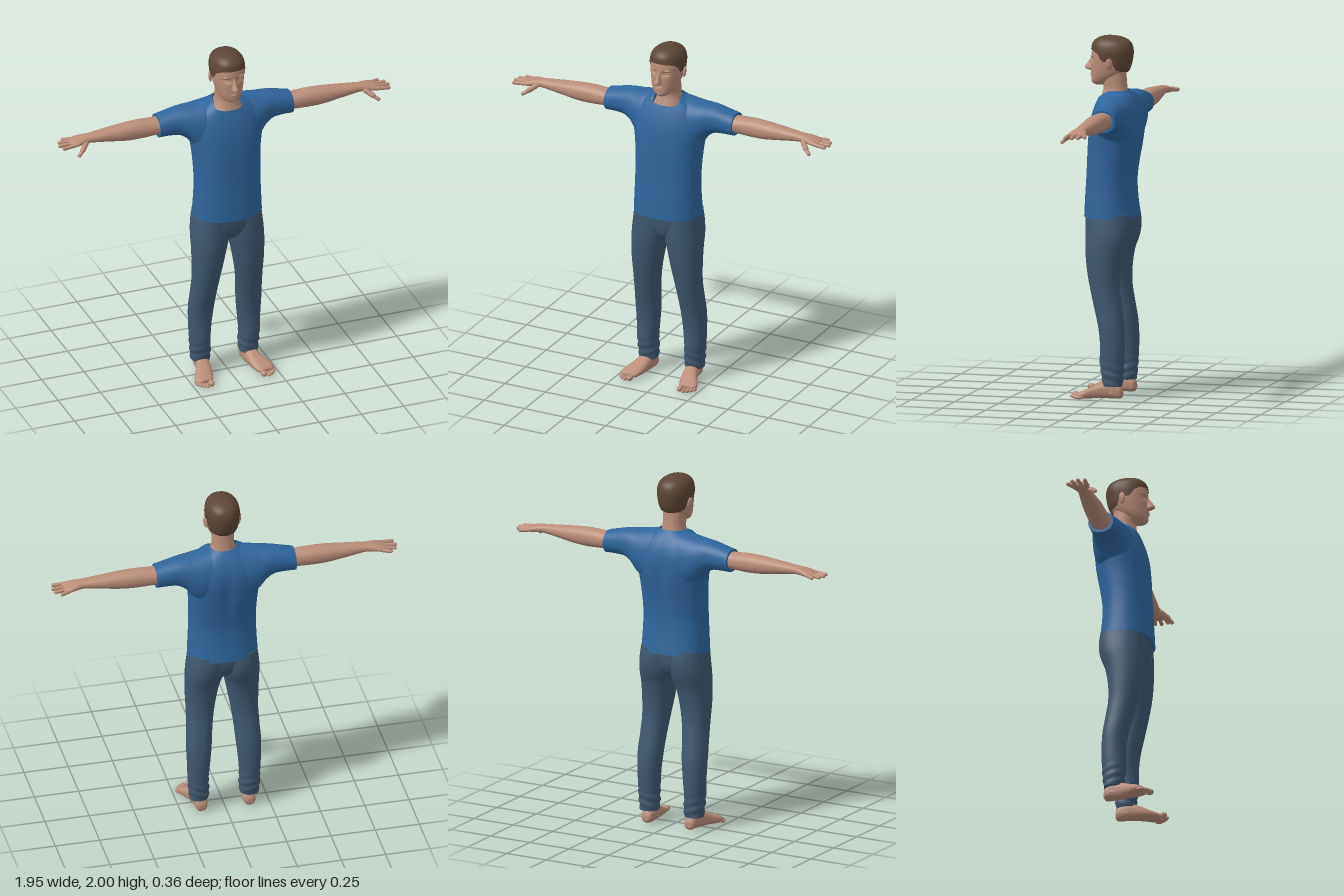
import * as THREE from 'three';

const paint = (name, color, side = THREE.FrontSide) => {
  const m = new THREE.MeshStandardMaterial({ color, side });
  m.name = name;
  return m;
};

// Smooth interpolation of rows sorted by their first number
function at(rows, t) {
  const last = rows.length - 1;
  let k = 0;
  while (k < last - 1 && t > rows[k + 1][0]) k++;
  const p = rows[k], q = rows[k + 1], h = q[0] - p[0];
  const s = Math.min(1, Math.max(0, (t - p[0]) / h));
  const slope = (i, c) => {
    const a = rows[Math.max(0, i - 1)], b = rows[Math.min(last, i + 1)];
    return (b[c] - a[c]) / (b[0] - a[0]);
  };
  return p.map((v, c) => c === 0 ? t :
    v * (1 + 2 * s) * (1 - s) ** 2 + slope(k, c) * h * s * (1 - s) ** 2 +
    q[c] * s * s * (3 - 2 * s) + slope(k + 1, c) * h * s * s * (s - 1));
}

// Loft along an axis (0 x, 1 y, 2 z). Row: [t, aMin, aMax, bMin, bMax],
// where a and b are the next two axes in cyclic order.
function loft(axis, rows, o = {}) {
  const { n = 36, steps = 40, power = 2.2, start, end, ease = (s) => s, warp } = o;
  const pos = [], idx = [], A = (axis + 1) % 3, B = (axis + 2) % 3;
  const round = (c) => Math.sign(c) * Math.abs(c) ** (2 / power);
  for (let j = 0; j <= steps; j++) for (let i = 0; i < n; i++) {
    const th = (i / n) * Math.PI * 2;
    const t0 = start ? start(th) : rows[0][0], t1 = end ? end(th) : rows.at(-1)[0];
    const [t, a0, a1, b0, b1] = at(rows, t0 + (t1 - t0) * ease(j / steps));
    const p = [0, 0, 0];
    p[axis] = t;
    p[A] = (a0 + a1) / 2 + (a1 - a0) / 2 * round(Math.cos(th));
    p[B] = (b0 + b1) / 2 + (b1 - b0) / 2 * round(Math.sin(th));
    if (warp) warp(p, th);
    pos.push(...p);
    if (j === steps) continue;
    const u = j * n + i, v = j * n + (i + 1) % n;
    idx.push(u, v, u + n, v, v + n, u + n);
  }
  // Flat end caps with their own rings
  const cap = (j, flip) => {
    const base = pos.length / 3, mid = [0, 0, 0];
    for (let i = 0; i < n; i++) for (let c = 0; c < 3; c++) {
      const v = pos[(j * n + i) * 3 + c];
      pos.push(v);
      mid[c] += v / n;
    }
    pos.push(...mid);
    for (let i = 0; i < n; i++) {
      const u = base + i, v = base + (i + 1) % n;
      idx.push(...(flip ? [v, u, base + n] : [u, v, base + n]));
    }
  };
  if (!start) cap(0, true);
  if (!end) cap(steps, false);
  const g = new THREE.BufferGeometry();
  g.setAttribute('position', new THREE.Float32BufferAttribute(pos, 3));
  g.setIndex(idx);
  g.computeVertexNormals();
  return g;
}

// Copy of a geometry reflected across x = 0
function mirrored(g) {
  const m = g.clone().scale(-1, 1, 1), ix = m.index.array;
  for (let i = 0; i < ix.length; i += 3) [ix[i], ix[i + 1]] = [ix[i + 1], ix[i]];
  m.computeVertexNormals();
  return m;
}

const blob = (x, y, z, rx, ry, rz) => new THREE.SphereGeometry(1, 20, 14).scale(rx, ry, rz).translate(x, y, z);

// Rounded digit between two points
function digit(from, to, r) {
  const a = new THREE.Vector3(...from), b = new THREE.Vector3(...to), d = b.clone().sub(a);
  const turn = new THREE.Quaternion().setFromUnitVectors(new THREE.Vector3(0, 1, 0), d.clone().normalize());
  return new THREE.CapsuleGeometry(r, Math.max(0.001, d.length() - r), 5, 12)
    .applyQuaternion(turn).translate(...a.add(b).multiplyScalar(0.5).toArray());
}

export function createModel() {
  const model = new THREE.Group();
  const skin = paint('skin', 0xb98e7a);
  const shirt = paint('shirt blue', 0x2f669c, THREE.DoubleSide);
  const denim = paint('denim', 0x40586f);
  const brown = paint('hair brown', 0x5c4636, THREE.DoubleSide);
  const add = (name, g, mat) => {
    const m = new THREE.Mesh(g, mat);
    m.name = name;
    model.add(m);
  };
  const pair = (name, g, mat) => {
    add('left' + name, g, mat);
    add('right' + name, mirrored(g), mat);
  };

  // Head with hollowed eye sockets, and neck
  add('head', loft(1, [
    [1.725, 0.02, 0.09, -0.025, 0.025], [1.74, -0.005, 0.104, -0.048, 0.048],
    [1.77, -0.05, 0.108, -0.067, 0.067], [1.8, -0.085, 0.108, -0.077, 0.077],
    [1.84, -0.108, 0.108, -0.085, 0.085], [1.88, -0.118, 0.107, -0.089, 0.089],
    [1.92, -0.12, 0.102, -0.089, 0.089], [1.96, -0.106, 0.088, -0.076, 0.076],
    [1.985, -0.06, 0.05, -0.04, 0.04]], {
    n: 64, steps: 60, warp: (p) => {
      const dx = (Math.abs(p[0]) - 0.036) / 0.02, dy = (p[1] - 1.866) / 0.014;
      if (p[2] > 0) p[2] -= 0.014 * Math.exp(-dx * dx - dy * dy);
    } }), skin);
  add('neck', loft(1, [
    [1.63, -0.1, 0.062, -0.095, 0.095], [1.67, -0.1, 0.048, -0.075, 0.075],
    [1.71, -0.094, 0.038, -0.063, 0.063], [1.75, -0.09, 0.045, -0.062, 0.062],
    [1.8, -0.088, 0.05, -0.062, 0.062]]), skin);

  // Face features
  add('nose', loft(1, [
    [1.802, 0.08, 0.118, -0.012, 0.012], [1.81, 0.08, 0.142, -0.019, 0.019],
    [1.82, 0.08, 0.147, -0.018, 0.018], [1.845, 0.08, 0.13, -0.011, 0.011],
    [1.872, 0.08, 0.112, -0.009, 0.009], [1.89, 0.08, 0.104, -0.012, 0.012]], { n: 20, steps: 20, power: 2 }), skin);
  add('upperLip', blob(0, 1.784, 0.102, 0.026, 0.005, 0.012), skin);
  add('lowerLip', blob(0, 1.773, 0.101, 0.022, 0.006, 0.012), skin);
  add('chin', blob(0, 1.746, 0.092, 0.025, 0.017, 0.016), skin);
  pair('Brow', blob(0.036, 1.886, 0.092, 0.025, 0.007, 0.011), skin);
  pair('Eyelid', blob(0.036, 1.866, 0.079, 0.015, 0.008, 0.012), skin);
  pair('Ear', blob(0, 0, 0, 0.009, 0.033, 0.02).rotateY(0.35).rotateZ(-0.12).translate(0.096, 1.85, -0.018), skin);

  // Short hair with a hairline that drops towards the nape
  const hairline = [[-1, 1.8], [-0.4, 1.82], [-0.15, 1.87], [0.02, 1.862], [0.22, 1.865], [0.45, 1.9], [0.75, 1.918], [1, 1.924]];
  add('hair', loft(1, [
    [1.79, -0.095, 0.1, -0.075, 0.075], [1.83, -0.115, 0.112, -0.088, 0.088],
    [1.88, -0.126, 0.113, -0.094, 0.094], [1.92, -0.128, 0.108, -0.095, 0.095],
    [1.96, -0.115, 0.098, -0.084, 0.084], [1.985, -0.082, 0.07, -0.058, 0.058],
    [1.997, -0.036, 0.034, -0.026, 0.026], [2, -0.004, 0.004, -0.004, 0.004]], {
    n: 64, steps: 36, start: (th) => at(hairline, Math.cos(th))[1],
    ease: (s) => Math.sin(s * Math.PI / 2) }), brown);

  // Shirt body with a neckline dipping at the front and a groove down the back
  add('shirtBody', loft(1, [
    [1, -0.158, 0.137, -0.195, 0.195], [1.1, -0.145, 0.132, -0.19, 0.19],
    [1.2, -0.14, 0.126, -0.187, 0.187], [1.3, -0.152, 0.121, -0.189, 0.189],
    [1.4, -0.17, 0.116, -0.196, 0.196], [1.5, -0.181, 0.106, -0.21, 0.21],
    [1.57, -0.176, 0.091, -0.208, 0.208], [1.62, -0.16, 0.074, -0.19, 0.19],
    [1.655, -0.14, 0.06, -0.155, 0.155], [1.68, -0.12, 0.05, -0.11, 0.11],
    [1.7, -0.1, 0.044, -0.074, 0.074]], {
    n: 64, steps: 50, power: 2.3,
    end: (th) => 1.7 - 0.045 * Math.max(0, Math.cos(th)) ** 2,
    warp: (p) => {
      if (p[2] < 0) p[2] += 0.014 * Math.exp(-((p[0] / 0.035) ** 2) - ((p[1] - 1.45) / 0.15) ** 2);
    } }), shirt);
  pair('Sleeve', loft(0, [
    [0.08, 1.38, 1.692, -0.165, 0.06], [0.14, 1.39, 1.682, -0.166, 0.062],
    [0.19, 1.43, 1.674, -0.16, 0.05], [0.225, 1.475, 1.671, -0.152, 0.036],
    [0.27, 1.505, 1.666, -0.143, 0.02], [0.33, 1.512, 1.653, -0.138, 0.01],
    [0.393, 1.512, 1.638, -0.136, 0.005]]), shirt);

  // Arms and hands
  pair('Arm', loft(0, [
    [0.33, 1.53, 1.628, -0.12, -0.008], [0.4, 1.53, 1.625, -0.12, -0.008],
    [0.5, 1.525, 1.63, -0.117, -0.01], [0.58, 1.528, 1.627, -0.114, -0.01],
    [0.66, 1.539, 1.62, -0.108, -0.016], [0.74, 1.551, 1.612, -0.1, -0.021],
    [0.8, 1.558, 1.606, -0.094, -0.025], [0.84, 1.558, 1.602, -0.104, -0.018],
    [0.88, 1.556, 1.592, -0.112, -0.009], [0.9, 1.556, 1.586, -0.108, -0.012],
    [0.912, 1.562, 1.58, -0.1, -0.02]]), skin);
  const fingers = [[-0.1, 0.938, -0.12], [-0.076, 0.967, -0.089], [-0.049, 0.976, -0.055], [-0.022, 0.967, -0.016]];
  fingers.forEach(([z, tipX, tipZ], i) =>
    pair('Finger' + (i + 1), digit([0.875, 1.573, z], [tipX - 0.004, 1.567, tipZ], 0.0105), skin));
  pair('ThumbBase', digit([0.82, 1.575, -0.03], [0.862, 1.546, 0.012], 0.015), skin);
  pair('ThumbTip', digit([0.852, 1.551, 0.005], [0.887, 1.528, 0.027], 0.0105), skin);

  // Trousers, with slight folds above the hem
  add('trouserSeat', loft(1, [
    [0.845, -0.05, 0.05, -0.03, 0.03], [0.87, -0.095, 0.085, -0.09, 0.09],
    [0.92, -0.125, 0.108, -0.18, 0.18], [0.97, -0.135, 0.116, -0.19, 0.19],
    [1.02, -0.138, 0.12, -0.188, 0.188]]), denim);
  pair('TrouserLeg', loft(1, [
    [0.07, -0.106, 0.002, 0.09, 0.195], [0.1, -0.11, 0.005, 0.086, 0.197],
    [0.2, -0.117, 0.018, 0.088, 0.203], [0.3, -0.12, 0.017, 0.08, 0.207],
    [0.4, -0.115, 0.028, 0.07, 0.21], [0.5, -0.1, 0.052, 0.062, 0.205],
    [0.6, -0.086, 0.076, 0.05, 0.202], [0.7, -0.088, 0.096, 0.033, 0.205],
    [0.8, -0.105, 0.108, 0.013, 0.207], [0.88, -0.135, 0.112, -0.008, 0.206],
    [0.95, -0.146, 0.112, -0.008, 0.199], [1.02, -0.14, 0.112, -0.005, 0.19]], {
    steps: 70, warp: (p, th) => {
      const f = 0.004 * Math.exp(-(((p[1] - 0.13) / 0.06) ** 2)) * Math.sin(p[1] * 130 + 2 * th);
      p[2] += f * Math.cos(th);
      p[0] += f * Math.sin(th);
    } }), denim);

  // Bare feet turned slightly outwards
  pair('Ankle', loft(1, [
    [0.03, -0.1, 0.005, 0.1, 0.176], [0.07, -0.095, -0.008, 0.102, 0.175],
    [0.12, -0.09, -0.02, 0.108, 0.172]], { steps: 12 }), skin);
  pair('Foot', loft(2, [
    [-0.109, 0.12, 0.152, 0.015, 0.045], [-0.1, 0.105, 0.167, 0.002, 0.07],
    [-0.05, 0.1, 0.174, 0, 0.098], [0, 0.104, 0.187, 0, 0.088],
    [0.05, 0.11, 0.208, 0, 0.068], [0.09, 0.12, 0.229, 0, 0.05],
    [0.115, 0.13, 0.23, 0.002, 0.039], [0.135, 0.142, 0.212, 0.006, 0.03]], { power: 2.4 }), skin);
  const toes = [[0.155, 0.154, 0.017], [0.181, 0.158, 0.011], [0.199, 0.148, 0.0105], [0.214, 0.134, 0.01], [0.226, 0.116, 0.0095]];
  toes.forEach(([x, z, r], i) => pair('Toe' + (i + 1), blob(x, r, z, r, r, 0.023), skin));

  return model;
}
